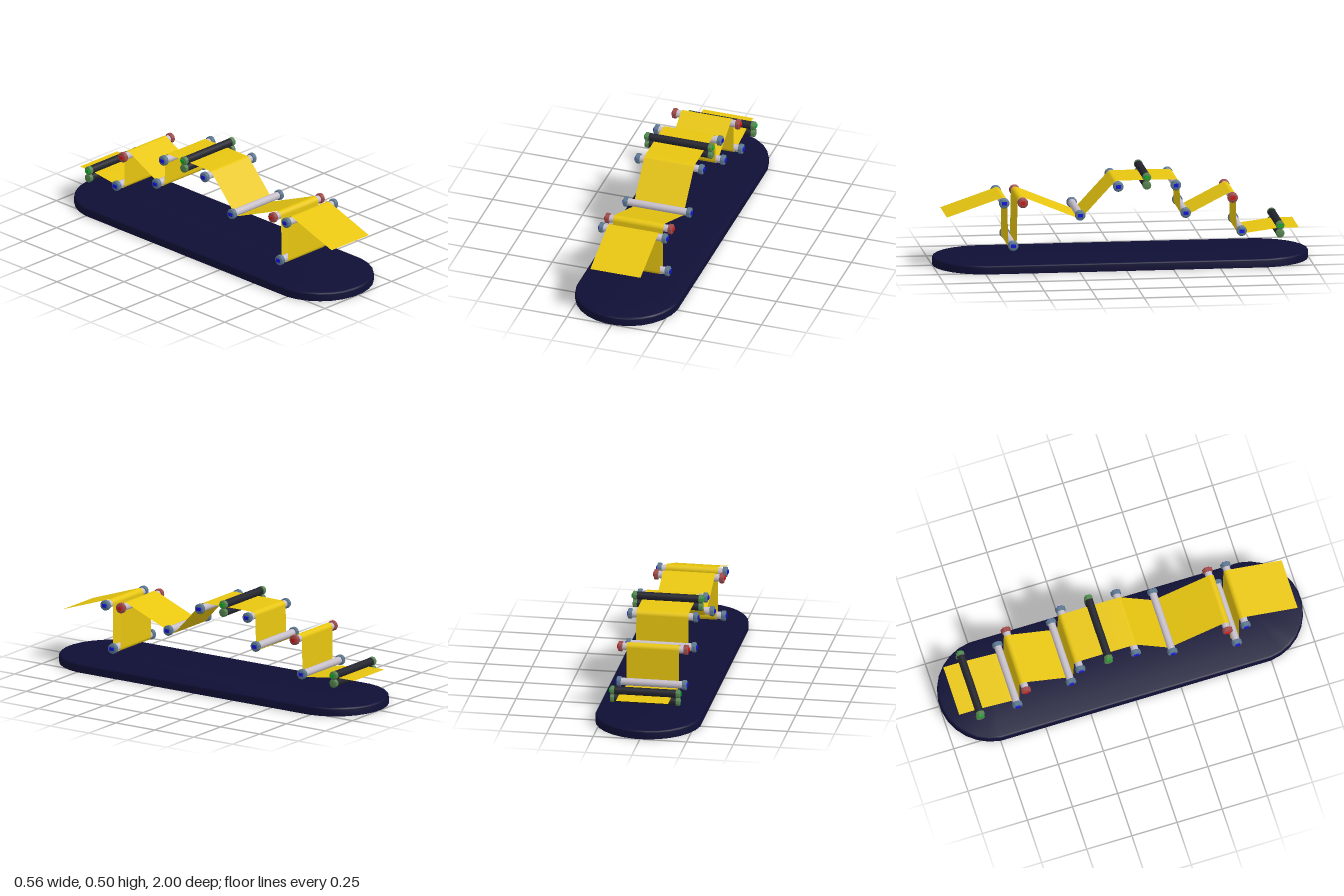
import * as THREE from 'three';
import { toCreasedNormals } from 'three/addons/utils/BufferGeometryUtils.js';

const mat = (name, color, side = THREE.FrontSide) => {
  const m = new THREE.MeshStandardMaterial({ color, side });
  m.name = name;
  return m;
};

// Rollers in web order: z, y, kind; side +1 = web passes over, -1 = under, 0 = nip between a pair
const STATIONS = [
  [0.64, 0.36, 'blue', 1], [0.592, 0.13, 'blue', -1], [0.54, 0.36, 'red', 1],
  [0.235, 0.285, 'blue', -1], [0.032, 0.435, 'blue', 1], [-0.12, 0.46, 'green', 0],
  [-0.275, 0.435, 'blue', 1], [-0.327, 0.285, 'blue', -1], [-0.577, 0.36, 'red', 1],
  [-0.625, 0.18, 'blue', -1], [-0.83, 0.183, 'green', 0],
];
const WEB_R = 0.0235, WEB_HALF = 0.14;

// Stadium base: a lathed disc whose halves are pulled apart along z
function baseGeometry() {
  const r = 0.282, h = 0.046, b = 0.01, segs = 28, start = Math.PI / segs;
  const profile = [[0, 0], [r, 0], [r, h - b], [r - b * 0.13, h - b * 0.5],
    [r - b * 0.5, h - b * 0.13], [r - b, h], [0, h]].map(p => new THREE.Vector2(...p));
  const geo = new THREE.LatheGeometry(profile, segs, start);
  const pos = geo.attributes.position, k = 1 / Math.cos(start);
  for (let i = 0; i < pos.count; i++) {
    const phi = start + Math.floor(i / profile.length) * 2 * start;
    pos.setX(i, pos.getX(i) * k);
    pos.setZ(i, pos.getZ(i) * k + Math.sign(Math.cos(phi)) * (1 - r * k));
  }
  return toCreasedNormals(geo, 0.7);
}

// Web path: tangent lines between rollers joined by arcs, with u = -z
function webPath() {
  const stops = [[0.94, 0.283, '', 0], ...STATIONS, [-0.935, 0.183, '', 0]]
    .map(([z, y, , s]) => ({ u: -z, v: y, s }));
  const angles = [];
  for (let i = 0; i + 1 < stops.length; i++) {
    const a = stops[i], b = stops[i + 1];
    const du = b.u - a.u, dv = b.v - a.v;
    const k = (a.s - b.s) * WEB_R / Math.hypot(du, dv);
    angles.push(Math.atan2(dv, du) + Math.acos(k));
  }
  const pts = [];
  stops.forEach(({ u, v, s }, i) => {
    if (s === 0) return pts.push([u, v]);
    const from = angles[i - 1];
    const turn = THREE.MathUtils.euclideanModulo((angles[i] - from) * -s, Math.PI * 2) * -s;
    for (let j = 0; j <= 10; j++) {
      const t = from + turn * j / 10;
      pts.push([u + s * WEB_R * Math.cos(t), v + s * WEB_R * Math.sin(t)]);
    }
  });
  return pts;
}

function webGeometry() {
  const pts = webPath(), verts = [], index = [];
  pts.forEach(([u, v], i) => {
    verts.push(-WEB_HALF, v, -u, WEB_HALF, v, -u);
    if (i) {
      const a = 2 * i - 2;
      index.push(a, a + 1, a + 2, a + 1, a + 3, a + 2);
    }
  });
  const geo = new THREE.BufferGeometry();
  geo.setAttribute('position', new THREE.Float32BufferAttribute(verts, 3));
  geo.setIndex(index);
  geo.computeVertexNormals();
  return geo;
}

// Rounded end cap, axis along x
function capGeometry(r) {
  const w = 0.0115, b = 0.004;
  const profile = [[0, -w], [r - b, -w], [r - b * 0.3, -w + b * 0.3], [r, -w + b],
    [r, w - b], [r - b * 0.3, w - b * 0.3], [r - b, w], [0, w]].map(p => new THREE.Vector2(...p));
  return toCreasedNormals(new THREE.LatheGeometry(profile, 24).rotateZ(Math.PI / 2), 0.9);
}

export function createModel() {
  const model = new THREE.Group();
  model.name = 'webLine';
  const mats = {
    base: mat('navy', 0x0f0f36),
    web: mat('yellow', 0xe8c610, THREE.DoubleSide),
    roller: mat('paleSteel', 0xc6bfca),
    rubber: mat('blackRubber', 0x24242e),
    blue: mat('blueGrey', 0x5c7890),
    red: mat('dullRed', 0xa04a4a),
    green: mat('dullGreen', 0x568650),
    bluePlate: mat('brightBlue', 0x1414e0),
    redPlate: mat('brightRed', 0xd01818),
    greenPlate: mat('brightGreen', 0x10b028),
  };
  const add = (parent, name, geo, material, x = 0) => {
    const m = new THREE.Mesh(geo, material);
    m.name = name;
    m.position.x = x;
    parent.add(m);
  };
  const rod = r => new THREE.CylinderGeometry(r, r, 0.34, 28, 1, true).rotateZ(Math.PI / 2);
  const steelRod = rod(0.02), rubberRod = rod(0.021);
  const steelCap = capGeometry(0.0275), rubberCap = capGeometry(0.023);
  const plate = new THREE.BoxGeometry(0.006, 0.018, 0.025);

  // One roller with its end caps and optional marker plates
  function addRoller(z, y, kind, plates = true) {
    const g = new THREE.Group(), nip = kind === 'green';
    g.name = nip ? 'nipRoller' : kind === 'red' ? 'sensingRoller' : 'idlerRoller';
    g.position.set(0, y, z);
    add(g, 'rollerBody', nip ? rubberRod : steelRod, nip ? mats.rubber : mats.roller);
    for (const s of [-1, 1]) {
      add(g, 'endCap', nip ? rubberCap : steelCap, mats[kind], s * 0.1755);
      if (plates) add(g, 'markerPlate', plate, mats[kind + 'Plate'], s * 0.19);
    }
    model.add(g);
  }

  add(model, 'base', baseGeometry(), mats.base);
  add(model, 'web', webGeometry(), mats.web);
  for (const [z, y, kind] of STATIONS) {
    if (kind === 'green') {
      addRoller(z, y + 0.0215, kind);
      addRoller(z, y - 0.0215, kind, false);
    } else addRoller(z, y, kind);
  }
  return model;
}
